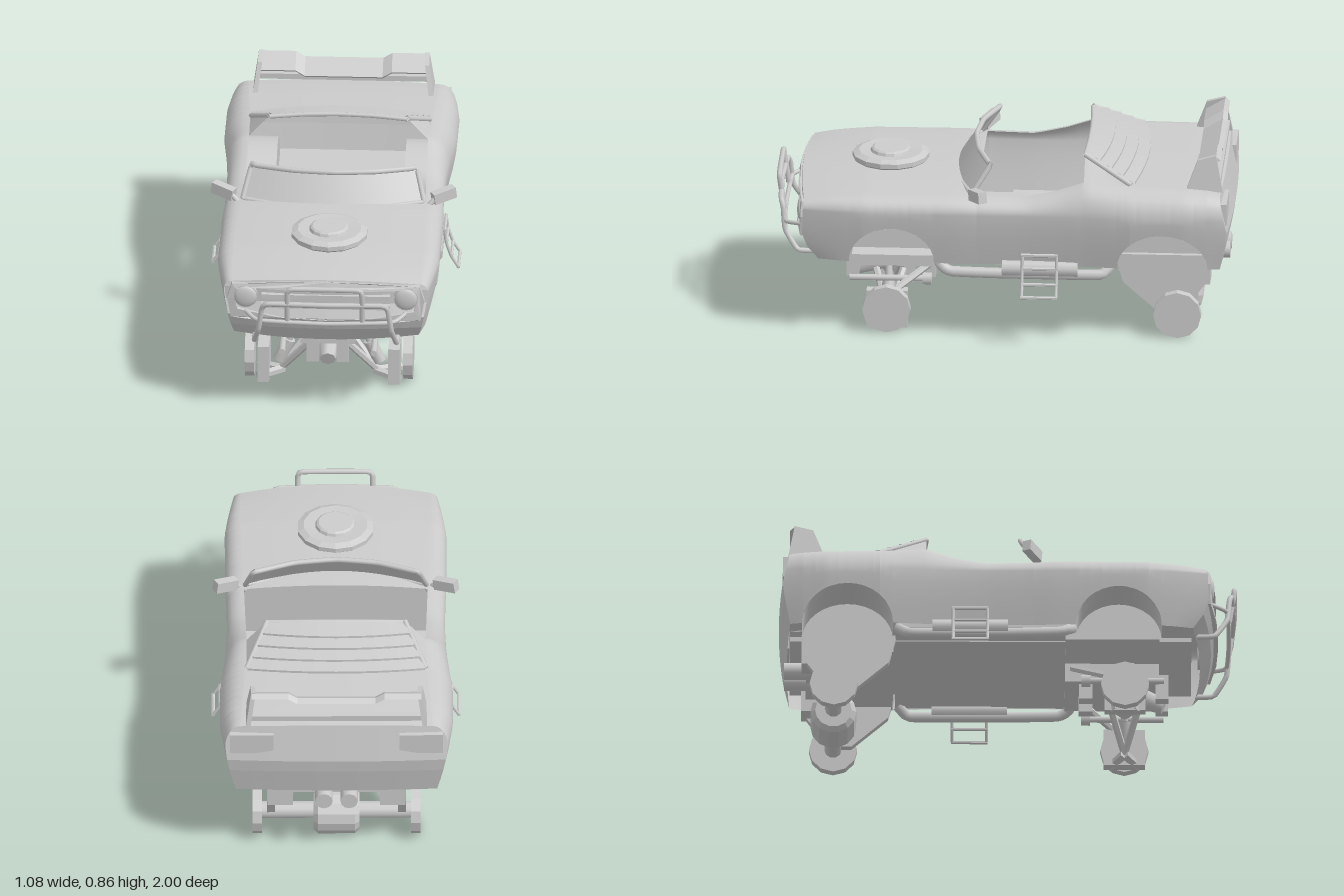
import * as THREE from 'three';

const V = (x, y, z) => new THREE.Vector3(x, y, z);
const mat = new THREE.MeshStandardMaterial({ color: 0xcccccc, side: THREE.DoubleSide });
const flatMat = new THREE.MeshStandardMaterial({ color: 0xcccccc, side: THREE.DoubleSide, flatShading: true });
const outline = pts => pts.map(p => new THREE.Vector2(...p));

// Surface from a rule f(i, j) over a grid of points
function grid(nu, nv, f) {
  const pos = [], idx = [];
  for (let i = 0; i <= nu; i++) for (let j = 0; j <= nv; j++) pos.push(...f(i, j));
  for (let i = 0; i < nu; i++) for (let j = 0; j < nv; j++) {
    const a = i * (nv + 1) + j, b = a + nv + 1;
    idx.push(a, b, a + 1, b, b + 1, a + 1);
  }
  const g = new THREE.BufferGeometry();
  g.setAttribute('position', new THREE.Float32BufferAttribute(pos, 3));
  g.setIndex(idx);
  g.computeVertexNormals();
  return g;
}

// Body key stations: z, widest half width, deck edge x, deck edge y, deck centre y
const keys = [
  [0.91, 0.445, 0.41, 0.635, 0.66], [0.8, 0.46, 0.415, 0.65, 0.67], [0.6, 0.483, 0.415, 0.665, 0.685],
  [0.2, 0.483, 0.405, 0.67, 0.69], [0.1, 0.478, 0.4, 0.665, 0.685], [-0.1, 0.475, 0.395, 0.662, 0.67],
  [-0.24, 0.48, 0.392, 0.695, 0.7], [-0.36, 0.488, 0.39, 0.735, 0.74], [-0.56, 0.508, 0.395, 0.722, 0.73],
  [-0.8, 0.508, 0.41, 0.715, 0.722], [-1, 0.485, 0.42, 0.698, 0.708],
];
function station(z) {
  let i = 0;
  while (i < keys.length - 2 && z < keys[i + 1][0]) i++;
  const a = keys[i], b = keys[i + 1], t = (z - a[0]) / (b[0] - a[0]);
  return a.map((v, k) => v + (b[k] - v) * t);
}
// Wheel arches: centre z and radius
const arches = [[0.483, 0.187], [-0.7, 0.198]], archH = 0.17, yWide = 0.6, floorY = 0.36;
const bottom = z => floorY + arches.reduce((h, [c, r]) =>
  Math.max(h, archH * Math.sqrt(Math.max(0, 1 - ((z - c) / r) ** 2))), 0);

// Rounds off the nose and the tail
function shape(x, y, z) {
  if (z > 0.7) z -= (z - 0.7) / 0.21 * (0.035 * (x / 0.42) ** 2 + Math.max(0, 0.45 - y) * 0.8 + Math.max(0, y - 0.6) * 0.3);
  if (z < -0.9) z += (-z - 0.9) / 0.1 * (Math.abs(y - 0.53) * 0.22 + 0.015 * (x / 0.48) ** 2);
  return [x, y, z];
}
const ROWS = 10;
function sidePoint(z, j) {
  const [, w, xe, ye] = station(z), yb = bottom(z);
  if (j <= 4) {
    const y = yb + (yWide - yb) * j / 4;
    return [w * (1 - 0.095 * ((yWide - y) / 0.24) ** 1.3), y];
  }
  const a = (j - 4) / (ROWS - 4) * Math.PI / 2;
  return [xe + (w - xe) * Math.cos(a), yWide + (ye - yWide) * Math.sin(a)];
}

export function createModel() {
  const root = new THREE.Group();
  const add = (name, geo, m = mat) => {
    const mesh = new THREE.Mesh(geo, m);
    mesh.name = name;
    root.add(mesh);
    return mesh;
  };
  const box = (name, x0, x1, y0, y1, z0, z1) => add(name, new THREE.BoxGeometry(x1 - x0, y1 - y0, z1 - z0)
    .translate((x0 + x1) / 2, (y0 + y1) / 2, (z0 + z1) / 2), flatMat);
  const rod = (name, a, b, r, sides = 8, r2 = r) => {
    const m = add(name, new THREE.CylinderGeometry(r2, r, a.distanceTo(b), sides), sides > 6 ? mat : flatMat);
    m.position.copy(a).lerp(b, 0.5);
    m.quaternion.setFromUnitVectors(V(0, 1, 0), b.clone().sub(a).normalize());
    return m;
  };
  const tube = (name, pts, r, closed = false) => add(name, new THREE.TubeGeometry(
    new THREE.CatmullRomCurve3(pts.map(p => V(...p)), closed, 'catmullrom', 0.2), pts.length * 6, r, 8, closed));

  // Body shell: sides with wheel arches, bonnet, rear deck, nose and tail
  const zs = [-0.36, -0.56, -1, 0.11];
  for (let z = 0.91; z > -0.99; z -= 0.05) zs.push(z);
  for (const [c, r] of arches) for (let k = 0; k <= 16; k++) zs.push(c + r * Math.cos(k * Math.PI / 16));
  zs.sort((a, b) => b - a);
  for (const s of [1, -1]) add('bodySide', grid(zs.length - 1, ROWS, (i, j) => {
    const [x, y] = sidePoint(zs[i], j);
    return shape(s * x, y, zs[i]);
  }));
  const deck = (name, z0, z1) => {
    const rows = zs.filter(z => z <= z0 && z >= z1);
    add(name, grid(rows.length - 1, 10, (i, j) => {
      const u = j / 5 - 1, [, , xe, ye, yc] = station(rows[i]);
      return shape(xe * u, ye + (yc - ye) * (1 - u * u), rows[i]);
    }));
  };
  deck('bonnet', 0.91, 0.11);
  deck('rearDeck', -0.56, -1);
  for (const [name, z] of [['nosePanel', 0.91], ['tailPanel', -1]]) add(name, grid(ROWS, 10, (i, j) => {
    const [x, y] = sidePoint(z, i), u = j / 5 - 1, s = station(z);
    const p = shape(x * u, y + (i === ROWS ? (s[4] - s[3]) * (1 - u * u) : 0), z);
    if (i === 0 && z > 0) p[1] -= 0.015 * (1 - u * u);
    if (z > 0 && i > 2 && i < ROWS - 1) p[2] -= 0.025;
    return p;
  }), flatMat);

  // Floor, tunnel, firewall and wheel wells
  box('floor', -0.42, 0.42, 0.355, 0.375, -0.49, 0.28);
  box('centreFloor', -0.28, 0.28, 0.35, 0.37, -0.95, 0.8);
  box('firewall', -0.4, 0.4, 0.37, 0.66, 0.2, 0.22);
  rod('tunnel', V(0, 0.385, -0.4), V(0, 0.385, 0.2), 0.035, 12);
  for (const [c, r] of arches) for (const s of [1, -1]) {
    add('wheelWell', grid(16, 1, (i, j) => {
      const a = i * Math.PI / 16, z = c + r * Math.cos(a), y = floorY + archH * Math.sin(a);
      return j ? shape(s * sidePoint(z, 0)[0], y, z) : [s * 0.28, y, z];
    }));
    add('wheelWellWall', new THREE.CircleGeometry(r, 16, 0, Math.PI).scale(1, archH / r, 1)
      .rotateY(Math.PI / 2).translate(s * 0.28, floorY, c));
  }

  // Nose frame, grille and headlights
  const half = [[0, 0.654], [0.2, 0.647], [0.41, 0.626], [0.43, 0.56], [0.415, 0.47], [0.2, 0.455], [0, 0.45]];
  const inner = [[0, 0.63], [0.2, 0.623], [0.395, 0.608], [0.4, 0.56], [0.385, 0.51], [0.2, 0.482], [0, 0.475]];
  const ring = h => outline([...h, ...h.slice(1, -1).reverse().map(([x, y]) => [-x, y])]);
  const frame = new THREE.Shape(ring(half));
  frame.holes.push(new THREE.Path(ring(inner)));
  const frameGeo = new THREE.ExtrudeGeometry(frame, { depth: 0.04, bevelEnabled: false });
  const fp = frameGeo.attributes.position;
  for (let i = 0; i < fp.count; i++) {
    const x = fp.getX(i), y = fp.getY(i);
    fp.setZ(i, fp.getZ(i) + 0.878 - 0.035 * (x / 0.42) ** 2 - Math.max(0, y - 0.6) * 0.3);
  }
  add('noseFrame', frameGeo, flatMat);
  for (const y of [0.53, 0.575]) box('grilleBar', -0.28, 0.28, y - 0.01, y + 0.01, 0.865, 0.895);
  for (const s of [1, -1]) {
    rod('headlight', V(s * 0.35, 0.57, 0.83), V(s * 0.35, 0.57, 0.885), 0.054, 14);
    add('headlightLens', new THREE.SphereGeometry(0.05, 14, 8).scale(1, 1, 0.3).translate(s * 0.35, 0.57, 0.885));
    box('tailLight', s * 0.37 - 0.095, s * 0.37 + 0.095, 0.575, 0.67, -0.982, -0.95);
  }

  // Bonnet air cleaner
  const profile = [[0, 0.738], [0.075, 0.738], [0.085, 0.732], [0.09, 0.72], [0.14, 0.724], [0.168, 0.712], [0.168, 0.692], [0.14, 0.67]];
  add('airCleaner', new THREE.LatheGeometry(outline(profile), 14).translate(0, 0, 0.51), flatMat);

  // Windscreen with frame
  const screen = (u, t) => [u * (0.395 - 0.035 * t), 0.67 + 0.135 * t - 0.01 * t * u * u, 0.135 - 0.08 * t + (0.09 - 0.01 * t) * (1 - u * u)];
  add('windscreen', grid(12, 1, (i, j) => screen(i / 6 - 1, j)));
  const us = [-1, -0.97, -0.5, 0, 0.5, 0.97, 1];
  tube('windscreenFrame', [...us.map(u => screen(u, 0)), ...us.slice().reverse().map(u => screen(u, 1))], 0.012, true);

  // Rear louvres between leaning side panels
  const rail = t => [0.3 + 0.09 * t, 0.83 - 0.105 * t, -0.355 - 0.205 * t];
  for (const s of [1, -1]) {
    add('louvrePanel', grid(6, 1, (i, j) => {
      const t = i / 6, p = rail(t);
      return j ? [s * p[0], p[1], p[2]] : [s * 0.392, station(p[2])[3] - 0.005, p[2]];
    }));
    tube('louvreRail', [0, 0.5, 1].map(t => { const p = rail(t); return [s * p[0], p[1], p[2]]; }), 0.012);
  }
  for (let k = 0; k < 4; k++) add('louvreSlat', grid(8, 2, (i, j) => {
    const u = i / 4 - 1, p = rail(k * 0.25), d = Math.min(j, 1), c = 1 - u * u;
    return [u * (p[0] + d * 0.02), p[1] + 0.014 * c - d * 0.014 - (j > 1 ? 0.01 : 0), p[2] - d * 0.068 - 0.045 * c * (0.3 + 0.7 * d)];
  }), flatMat);
  tube('louvreHoop', us.map(u => [u * 0.3, 0.825 + 0.012 * (1 - u * u), -0.355 - 0.013 * (1 - u * u)]), 0.01);

  // Rear wing with end plates and dropped centre
  const wx = [-0.37, -0.21, -0.17, 0.17, 0.21, 0.37], sec = [[0.805, -0.845], [0.858, -0.93], [0.84, -0.95], [0.79, -0.865], [0.805, -0.845]];
  add('wingBlade', grid(5, 4, (i, j) => [wx[i], sec[j][0] - (i === 2 || i === 3 ? 0.025 : 0), sec[j][1]]), flatMat);
  box('wingLowerBar', -0.38, 0.38, 0.725, 0.75, -0.95, -0.92);
  const plate = new THREE.Shape(outline([[0.8, 0.705], [0.85, 0.84], [0.93, 0.862], [0.96, 0.7]]));
  for (const s of [1, -1]) {
    const geo = new THREE.ExtrudeGeometry(plate, { depth: 0.02, bevelEnabled: false }).rotateY(Math.PI / 2);
    const p = geo.attributes.position;
    for (let i = 0; i < p.count; i++) p.setX(i, p.getX(i) + s * (0.385 - (p.getY(i) - 0.7) * 0.14) - 0.01);
    add('wingEndPlate', geo, flatMat);
  }

  // Front bull bar
  tube('bullBar', [[-0.31, 0.36, 0.82], [-0.31, 0.365, 0.9], [-0.29, 0.45, 0.955], [-0.275, 0.55, 0.965], [-0.25, 0.58, 0.975],
    [0, 0.582, 0.985], [0.25, 0.58, 0.975], [0.275, 0.55, 0.965], [0.29, 0.45, 0.955], [0.31, 0.365, 0.9], [0.31, 0.36, 0.82]], 0.012);
  tube('bullBarLower', [[-0.35, 0.5, 0.88], [-0.29, 0.49, 0.955], [0, 0.483, 0.965], [0.29, 0.49, 0.955], [0.35, 0.5, 0.88]], 0.01);
  tube('bullBarHoop', [[-0.163, 0.5, 0.965], [-0.163, 0.63, 0.985], [-0.145, 0.66, 0.988], [0.145, 0.66, 0.988], [0.163, 0.63, 0.985], [0.163, 0.5, 0.965]], 0.012);

  // Chassis blocks, differential and axle
  box('frontSubframe', -0.12, 0.12, 0.235, 0.36, 0.25, 0.66);
  box('frontCrossmember', -0.37, 0.37, 0.32, 0.37, 0.25, 0.66);
  box('rearCrossmember', -0.3, 0.3, 0.29, 0.36, -0.88, -0.5);
  rod('gearCase', V(0, 0.26, 0.45), V(0, 0.17, 0.68), 0.07, 8, 0.035);
  const diff = [[0, -0.1], [0.08, -0.1], [0.1, -0.08], [0.1, 0.08], [0.08, 0.1], [0, 0.1]];
  add('differential', new THREE.LatheGeometry(outline(diff), 14).rotateZ(Math.PI / 2).translate(0, 0.105, -0.76), flatMat);
  rod('rearAxle', V(-0.33, 0.11, -0.76), V(0.33, 0.11, -0.76), 0.038, 10);
  const bracket = new THREE.Shape(outline([[0.485, 0.37], [0.52, 0.24], [0.68, 0.1], [0.78, 0.1], [0.88, 0.24], [0.9, 0.37]]));

  for (const s of [1, -1]) {
    // Hubs, rear brackets and tail pipes
    for (const z of [0.51, -0.76]) rod('hub', V(s * 0.325, 0.112, z), V(s * 0.366, 0.112, z), 0.105, 12).material = flatMat;
    const m = add('rearBracket', new THREE.ExtrudeGeometry(bracket, { depth: 0.035, bevelEnabled: false }).rotateY(Math.PI / 2), flatMat);
    m.position.x = s * 0.285 - 0.0175;
    box('rearBracketBlock', s * 0.245 - 0.055, s * 0.245 + 0.055, 0.235, 0.36, -0.9, -0.76);
    rod('tailPipe', V(s * 0.055, 0.31, -0.7), V(s * 0.055, 0.31, -0.975), 0.038, 12);

    // Front suspension
    box('upright', s * 0.285 - 0.025, s * 0.285 + 0.025, 0.01, 0.18, 0.42, 0.6);
    box('armMount', s * 0.065 - 0.027, s * 0.065 + 0.027, 0.165, 0.28, 0.645, 0.7);
    box('armMount', s * 0.065 - 0.027, s * 0.065 + 0.027, 0.165, 0.24, 0.31, 0.37);
    for (const z of [0.45, 0.57]) {
      rod('lowerArm', V(s * 0.08, 0.2, z), V(s * 0.21, 0.04, 0.51), 0.016, 6);
      rod('lowerArmEnd', V(s * 0.2, 0.035, 0.51), V(s * 0.31, 0.025, z), 0.02, 6);
    }
    rod('upperArm', V(s * 0.14, 0.29, 0.28), V(s * 0.28, 0.18, 0.47), 0.016, 6);
    rod('sideLink', V(s * 0.2, 0.2, 0.33), V(s * 0.2, 0.2, 0.68), 0.014);
    rod('sideLinkEnd', V(s * 0.2, 0.2, 0.32), V(s * 0.2, 0.2, 0.36), 0.028);
    rod('shockBody', V(s * 0.22, 0.08, 0.51), V(s * 0.175, 0.18, 0.51), 0.028, 10);
    rod('shockRod', V(s * 0.175, 0.18, 0.51), V(s * 0.13, 0.31, 0.51), 0.016);
    rod('shockTop', V(s * 0.13, 0.29, 0.48), V(s * 0.13, 0.29, 0.55), 0.028, 8);

    // Side exhaust with silencer
    tube('sidePipe', [[s * 0.39, 0.365, 0.28], [s * 0.425, 0.345, 0.265], [s * 0.435, 0.325, 0.22], [s * 0.435, 0.32, 0],
      [s * 0.435, 0.32, -0.4], [s * 0.43, 0.325, -0.44], [s * 0.4, 0.36, -0.48]], 0.024);
    rod('silencer', V(s * 0.435, 0.345, 0), V(s * 0.435, 0.345, -0.33), 0.036, 10);

    // Step ladder
    const step = [[0.475, 0.42], [0.483, 0.36], [0.505, 0.295], [0.535, 0.245]];
    for (const z of [-0.09, -0.24]) tube('stepRail', step.map(([x, y]) => [s * x, y, z]), 0.007);
    for (const [x, y] of step) rod('stepRung', V(s * x, y, -0.085), V(s * x, y, -0.245), 0.008, 6);

    // Door mirror
    rod('mirrorArm', V(s * 0.395, 0.635, 0.15), V(s * 0.45, 0.69, 0.125), 0.012);
    const mirror = add('mirror', new THREE.BoxGeometry(0.105, 0.05, 0.04), flatMat);
    mirror.position.set(s * 0.48, 0.693, 0.105);
    mirror.rotation.set(0, s * 0.5, s * 0.15);
  }
  return root;
}
